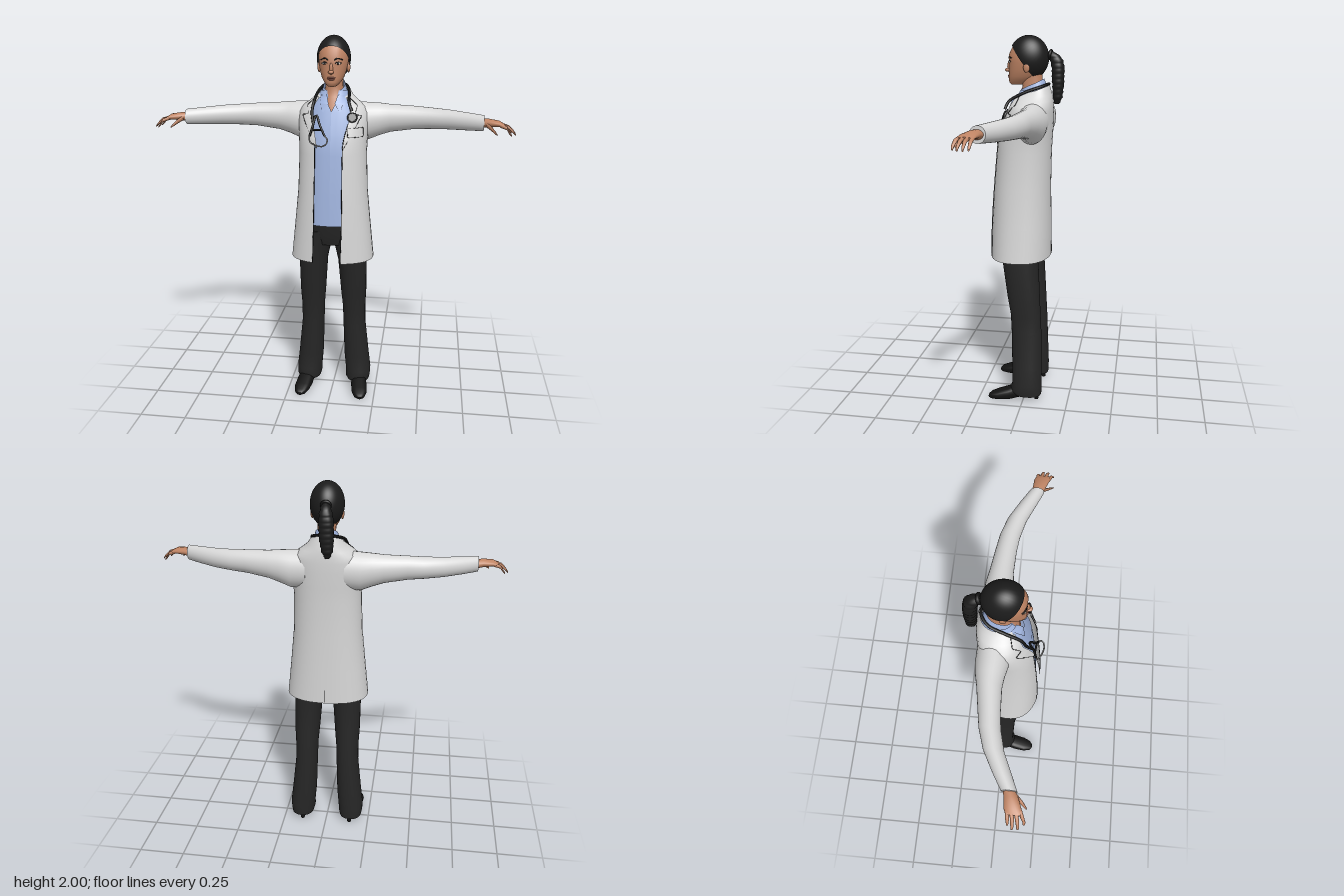
import * as THREE from 'three';

const mat = (name, color, side = THREE.FrontSide) => {
  const m = new THREE.MeshStandardMaterial({ color, side });
  m.name = name;
  return m;
};
const V = (x, y, z) => new THREE.Vector3(x, y, z);
const spow = (v, p) => Math.sign(v) * Math.pow(Math.abs(v), p);
const N = 2.3; // roundness of the body cross-sections

// Skin over rows of points; closed rows wrap round and can be capped.
function loft(rows, closed = true, cap = closed) {
  const n = rows[0].length, pos = [], idx = [];
  rows.forEach(r => r.forEach(p => pos.push(p.x, p.y, p.z)));
  for (let i = 0; i < rows.length - 1; i++)
    for (let j = 0; j < (closed ? n : n - 1); j++) {
      const k = (j + 1) % n, a = i * n + j, b = i * n + k;
      idx.push(a, b, b + n, a, b + n, a + n);
    }
  if (cap) [0, rows.length - 1].forEach((ri, end) => {
    const c = rows[ri].reduce((s, p) => s.add(p), V(0, 0, 0)).divideScalar(n);
    const base = pos.length / 3;
    [c, ...rows[ri]].forEach(p => pos.push(p.x, p.y, p.z));
    for (let j = 0; j < n; j++) {
      const a = base + 1 + j, b = base + 1 + (j + 1) % n;
      end ? idx.push(base, a, b) : idx.push(base, b, a);
    }
  });
  const g = new THREE.BufferGeometry();
  g.setAttribute('position', new THREE.Float32BufferAttribute(pos, 3));
  g.setIndex(idx);
  g.computeVertexNormals();
  return g;
}

// Level section: y, half width, front z, back z, centre x, opening edges, tilt.
function ring([y, a, zf, zb, cx = 0, eL = 0, eR = 0, tilt = 0], closed, seg = 40) {
  const edge = e => Math.asin(Math.pow(Math.min(Math.abs(e) / a, 1), N / 2));
  const t0 = closed ? 0 : edge(eR), t1 = Math.PI * 2 - (closed ? 0 : edge(eL));
  return Array.from({ length: closed ? seg : seg + 1 }, (_, i) => {
    const t = t0 + (t1 - t0) * i / seg, c = Math.cos(t);
    return V(cx + a * spow(Math.sin(t), 2 / N), y - tilt * c,
      (zf + zb) / 2 + (zf - zb) / 2 * spow(c, 2 / N));
  });
}
const body = (secs, closed = true) => loft(secs.map(s => ring(s, closed)), closed);

// Limb section along x: x, y, z, radius in y, radius in z.
const limb = (secs, seg = 20) => loft(secs.map(([x, y, z, ry, rz = ry]) =>
  Array.from({ length: seg }, (_, i) => {
    const t = i / seg * Math.PI * 2;
    return V(x, y + ry * Math.cos(t), z + rz * Math.sin(t));
  })));

// Interpolated section at a height, and the front surface it gives.
function at(secs, y) {
  let i = 0;
  while (i < secs.length - 2 && secs[i + 1][0] < y) i++;
  const f = THREE.MathUtils.clamp((y - secs[i][0]) / (secs[i + 1][0] - secs[i][0]), 0, 1);
  return secs[i].map((v, k) => v + (secs[i + 1][k] - v) * f);
}
const front = secs => (x, y) => {
  const [, a, zf, zb] = at(secs, y);
  const u = Math.max(0, 1 - Math.pow(Math.min(1, Math.abs(x) / a), N));
  return (zf + zb) / 2 + (zf - zb) / 2 * Math.pow(u, 1 / N);
};
// Thin cloth lying on a front surface; rows are y, inner x, outer x.
function patch(rows, surf, off) {
  const y0 = rows[0][0], y1 = rows[rows.length - 1][0];
  return loft(Array.from({ length: 31 }, (_, k) => {
    const y = y0 + (y1 - y0) * k / 30, [, a, b] = at(rows, y);
    return Array.from({ length: 7 }, (_, j) => {
      const x = a + (b - a) * j / 6;
      return V(x, y, surf(x, y) + off);
    });
  }), false);
}
const tube = (pts, r, smooth = true) => new THREE.TubeGeometry(
  new THREE.CatmullRomCurve3(pts, false, 'catmullrom', smooth ? 0.5 : 0.05), pts.length * 8, r, 8);
const blob = (x, y, z, rx, ry, rz) =>
  new THREE.SphereGeometry(1, 20, 14).scale(rx, ry, rz).translate(x, y, z);

const COAT = [
  [0.82, .226, .197, -.13, 0, -.09, .06, 0], [1.0, .207, .193, -.128, 0, -.085, .065, 0],
  [1.2, .187, .18, -.124, 0, -.082, .065, 0], [1.4, .18, .162, -.127, 0, -.08, .065, 0],
  [1.48, .183, .152, -.132, 0, -.085, .07, 0], [1.56, .187, .125, -.136, 0, -.1, .09, 0],
  [1.61, .183, .102, -.137, 0, -.105, .098, 0], [1.64, .165, .09, -.136, 0, -.095, .09, 0],
  [1.665, .13, .08, -.134, 0, -.085, .085, 0], [1.69, .1, .066, -.13, 0, -.07, .07, .005],
  [1.715, .08, .045, -.115, 0, -.055, .055, .03]];
const SHIRT = [
  [1.02, .165, .168, -.1, 0, 0, 0], [1.2, .155, .16, -.1, 0, 0, 0], [1.4, .15, .143, -.1, 0, 0, 0],
  [1.5, .15, .13, -.1, 0, 0, 0], [1.62, .14, .092, -.11, 0, 0, 0], [1.66, .105, .078, -.11, 0, -.02, .02],
  [1.69, .085, .055, -.11, 0, -.03, .03], [1.72, .07, .04, -.1, 0, -.035, .035]];
const HEAD = [
  [1.747, .02, .088, .03], [1.755, .032, .097, .005], [1.77, .045, .102, -.03], [1.79, .057, .1, -.05],
  [1.82, .067, .1, -.07], [1.86, .075, .098, -.088], [1.9, .077, .1, -.098], [1.94, .07, .08, -.088],
  [1.97, .05, .05, -.06], [1.985, .02, .02, -.03]];
const NECK = [
  [1.6, .075, .075, -.09], [1.64, .07, .068, -.095], [1.69, .055, .045, -.09],
  [1.74, .046, .027, -.078], [1.81, .048, .04, -.075]];
// Trouser leg: y, inner x, outer x, front z, back z.
const LEG = [
  [.035, .08, .208, .055, -.1], [.06, .073, .213, .078, -.102], [.1, .072, .215, .062, -.102],
  [.2, .063, .203, .065, -.1], [.4, .057, .182, .07, -.095], [.5, .054, .181, .075, -.09],
  [.6, .045, .186, .092, -.085], [.8, .03, .187, .12, -.075], [.9, .008, .178, .135, -.09],
  [.98, -.005, .16, .145, -.1]];
const SLEEVE = [
  [.1, 1.56, -.045, .1, .08], [.18, 1.555, -.047, .1, .08], [.24, 1.566, -.05, .086, .07],
  [.3, 1.573, -.047, .073, .06], [.42, 1.58, -.035, .061, .053], [.5, 1.58, -.024, .056, .051],
  [.6, 1.58, .004, .051, .048], [.7, 1.579, .052, .045, .043], [.775, 1.579, .09, .04, .037]];

export function createModel() {
  const D = THREE.DoubleSide;
  const coat = mat('coat cloth', 0xd6d6d6, D), shirt = mat('blue shirt', 0xa0b4de, D);
  const trousers = mat('trouser cloth', 0x262626), hair = mat('hair', 0x1b1b1b, D);
  const skin = mat('skin', 0xbf8464), black = mat('black', 0x131313), lip = mat('lips', 0x9a5a4a);
  const metal = mat('metal', 0x8c8c8c), white = mat('eye white', 0xe4e0da);
  const root = new THREE.Group();
  root.name = 'doctor';
  const add = (name, geo, m) => {
    const mesh = new THREE.Mesh(geo, m);
    mesh.name = name;
    root.add(mesh);
  };
  const pair = (name, geo, m) => {
    add('left' + name, geo, m);
    const g = geo.clone().scale(-1, 1, 1), ix = g.index.array;
    for (let i = 0; i < ix.length; i += 3) [ix[i], ix[i + 1]] = [ix[i + 1], ix[i]];
    add('right' + name, g, m);
  };
  const coatZ = front(COAT), shirtZ = front(SHIRT), faceZ = front(HEAD);
  const onCoat = (x, y, off = .005) => V(x, y, coatZ(x, y) + off);

  // Clothes on the torso
  add('coat', body(COAT, false), coat);
  add('shirt', body(SHIRT, false), shirt);
  add('shirtCollar', body([[1.70, .07, .05, -.103, 0, -.02, .02, .03],
    [1.748, .056, .038, -.086, 0, -.03, .03, .03]], false), shirt);
  pair('ShirtCollarFlap', patch([[1.615, .043, .045], [1.66, .016, .06], [1.7, .028, .064]], shirtZ, .007), shirt);
  add('hips', body([[.9, .13, .125, -.085], [.96, .155, .145, -.1], [1.04, .15, .155, -.095]]), trousers);

  // Lapels, pocket and seams
  const lapel = [[1.44, .066, .07], [1.56, .09, .135], [1.6, .098, .155], [1.607, .099, .12],
    [1.65, .09, .13], [1.69, .07, .085]];
  pair('Lapel', patch(lapel, coatZ, .005), coat);
  pair('LapelSeam', tube(lapel.map(([y, , x]) => onCoat(x, y)), .0018, false), black);
  [[5, 'right'], [6, 'left']].forEach(([k, side]) =>
    add(side + 'CoatEdge', tube(COAT.slice(0, 6).map(s => onCoat(s[k], s[0], 0)), .002), black));
  add('pocket', patch([[1.495, .09, .165], [1.54, .09, .165]], coatZ, .004), coat);
  add('pocketSeam', tube([[.09, 1.54], [.09, 1.495], [.13, 1.495], [.165, 1.495], [.165, 1.54], [.13, 1.54], [.09, 1.54]]
    .map(([x, y]) => onCoat(x, y)), .0015, false), black);
  add('backSeam', tube([V(0, .825, -.131), V(0, .9, -.13)], .0015), black);

  // Arms and hands
  pair('Sleeve', limb(SLEEVE, 28), coat);
  pair('Palm', limb([[.76, 1.578, .086, .024, .027], [.8, 1.582, .1, .021, .033],
    [.85, 1.581, .112, .015, .04], [.875, 1.573, .118, .008, .036]]), skin);
  [[.088, .09, .093, .915], [.106, .113, .115, .932], [.125, .135, .14, .93], [.143, .158, .166, .908]]
    .forEach(([z0, z1, z2, tip], i) => pair('Finger' + (i + 1), limb([[.85, 1.578, z0, .01],
      [(.85 + tip) / 2 + .005, 1.567, z1, .009], [tip - .012, 1.546, z2, .007], [tip, 1.532, z2, .004]], 10), skin));
  pair('Thumb', limb([[.785, 1.577, .115, .013], [.808, 1.562, .142, .011],
    [.828, 1.545, .162, .008], [.838, 1.535, .172, .004]], 10), skin);

  // Legs and heeled shoes
  pair('TrouserLeg', body(LEG.map(([y, a, b, f, k]) => [y, (b - a) / 2, f, k, (a + b) / 2])), trousers);
  const shoe = [[-.09, .14, .02, .04, .09], [-.05, .143, .033, .035, .09], [.02, .15, .04, .015, .09],
    [.08, .158, .045, 0, .07], [.14, .166, .043, 0, .05], [.18, .17, .03, .002, .035], [.195, .172, .012, .006, .022]];
  pair('Shoe', loft(shoe.map(([z, cx, w, y0, y1]) => Array.from({ length: 24 }, (_, i) => {
    const t = i / 12 * Math.PI;
    return V(cx - w * spow(Math.sin(t), .75), (y0 + y1) / 2 + (y1 - y0) / 2 * spow(Math.cos(t), .75), z);
  }))), black);
  pair('ShoeHeel', new THREE.CylinderGeometry(.02, .011, .06, 14).translate(.141, .03, -.072), black);

  // Head and face
  add('neck', body(NECK), skin);
  add('head', body(HEAD), skin);
  add('nose', blob(0, 1.838, .1, .009, .03, .011), skin);
  add('noseTip', blob(0, 1.822, .106, .014, .01, .017), skin);
  add('upperLip', blob(0, 1.793, .098, .022, .005, .008), lip);
  add('lowerLip', blob(0, 1.785, .098, .018, .005, .008), lip);
  pair('Ear', blob(.077, 1.838, -.005, .009, .027, .017), skin);
  pair('Eye', blob(.034, 1.864, faceZ(.034, 1.864) - .001, .014, .006, .004), white);
  pair('Iris', blob(.034, 1.864, faceZ(.034, 1.864) + .002, .006, .006, .003), black);
  pair('Eyelid', tube([.019, .034, .051].map((x, i) => V(x, i === 1 ? 1.871 : 1.865, faceZ(x, 1.867) + .001)), .0022), black);
  pair('Brow', tube([.015, .034, .055].map((x, i) => V(x, [1.882, 1.89, 1.882][i], faceZ(x, 1.886))), .003), hair);

  // Hair swept back into a ponytail
  add('hairCap', new THREE.SphereGeometry(1, 40, 28, 0, Math.PI * 2, 0, 1.87)
    .rotateX(-.9).scale(.088, .115, .106).translate(0, 1.885, -.005), hair);
  add('hairTie', new THREE.TorusGeometry(.02, .009, 10, 20).rotateX(-.3).translate(-.008, 1.9, -.115), black);
  const TAIL = [[1.645, .01, -.14, -.163, -.02], [1.68, .027, -.133, -.18, -.02], [1.75, .036, -.128, -.188, -.017],
    [1.83, .037, -.125, -.19, -.015], [1.875, .03, -.118, -.182, -.012], [1.9, .022, -.1, -.16, -.01], [1.915, .01, -.1, -.135, -.008]];
  add('ponytail', body(Array.from({ length: 31 }, (_, i) => {
    const s = at(TAIL, 1.645 + .009 * i), b = i % 3 === 1 ? .003 : 0; // wavy locks
    return [s[0], s[1] + b, s[2] + b, s[3] - b, s[4]];
  })), hair);

  // Stethoscope round the neck
  add('stethoscopeTube', tube([V(-.088, 1.57, .135), V(-.098, 1.62, .108), V(-.092, 1.67, .078), V(-.083, 1.71, .005),
    V(-.06, 1.738, -.075), V(0, 1.752, -.112), V(.06, 1.738, -.075), V(.083, 1.71, .005),
    V(.09, 1.67, .08), V(.108, 1.625, .105)], .0075), black);
  add('stethoscopeFork', tube([V(-.105, 1.5, .158), V(-.09, 1.55, .145), V(-.074, 1.605, .122),
    V(-.05, 1.555, .15), V(-.025, 1.505, .163)], .006), black);
  add('stethoscopeBar', tube([V(-.095, 1.535, .15), V(-.04, 1.535, .156)], .005), black);
  add('earTubes', tube([V(-.105, 1.5, .158), V(-.1, 1.475, .168), V(-.07, 1.462, .185), V(-.035, 1.458, .194),
    V(-.012, 1.47, .19)], .004), metal);
  add('earTubeEnd', tube([V(-.025, 1.505, .163), V(-.01, 1.49, .175), V(-.012, 1.47, .19)], .004), metal);
  const cz = coatZ(.11, 1.595) + .012;
  add('chestPiece', new THREE.CylinderGeometry(.022, .022, .012, 24).rotateX(Math.PI / 2 - .35).translate(.11, 1.595, cz), metal);
  add('chestPieceRim', new THREE.TorusGeometry(.023, .004, 8, 28).rotateX(-.35).translate(.11, 1.595, cz + .004), black);
  return root;
}
